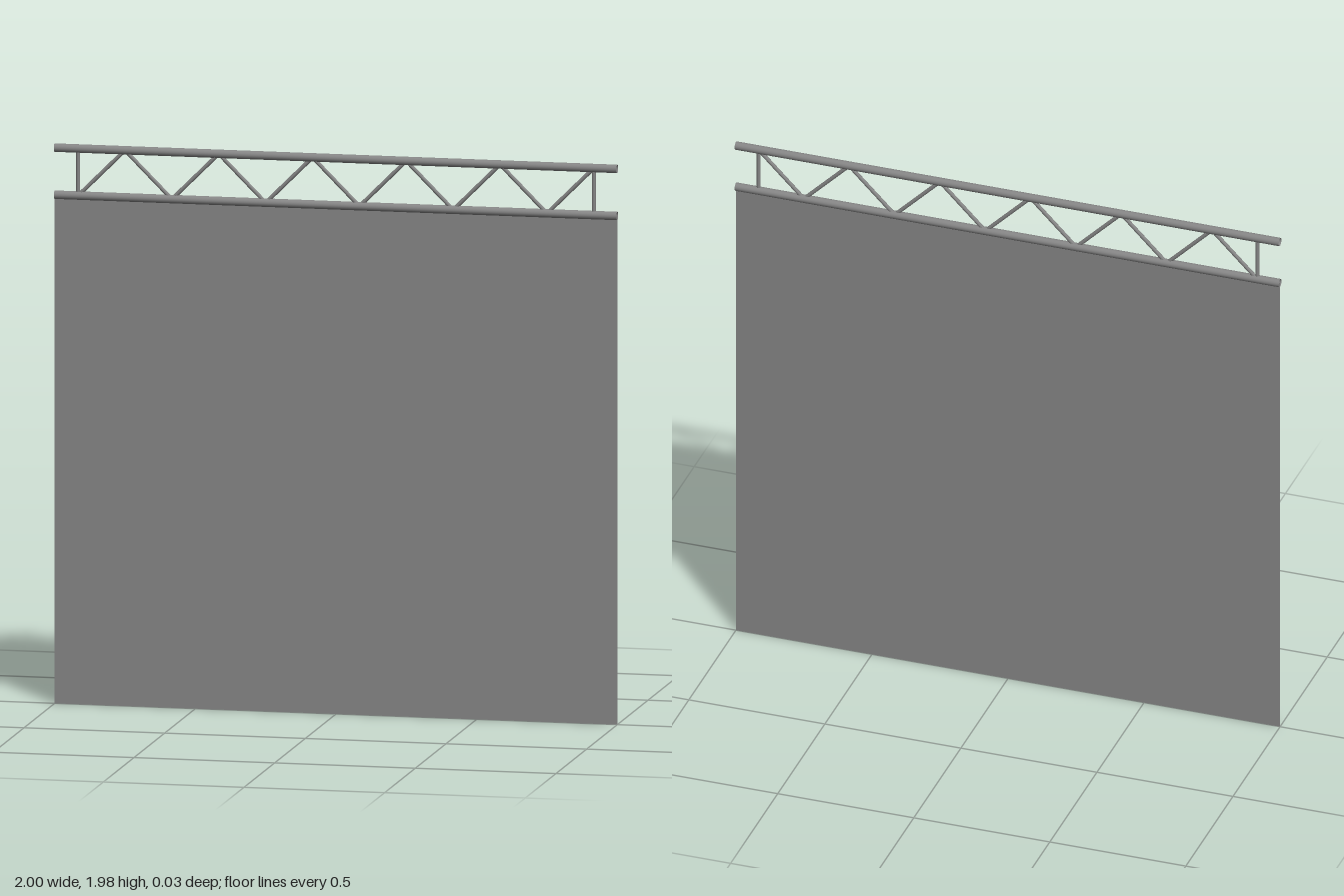
import * as THREE from 'three';

const TOP = 1.96, BOTTOM = 1.794;

export function createModel() {
  const model = new THREE.Group();
  const material = new THREE.MeshStandardMaterial({ color: 0x868686, side: THREE.DoubleSide });

  // Round bar between two points of the z = 0 plane
  function bar(name, x1, y1, x2, y2, radius, sides, open) {
    const a = new THREE.Vector3(x1, y1, 0), b = new THREE.Vector3(x2, y2, 0);
    const dir = b.clone().sub(a);
    const geometry = new THREE.CylinderGeometry(radius, radius, dir.length(), sides, 1, open);
    const mesh = new THREE.Mesh(geometry, material);
    mesh.name = name;
    mesh.position.copy(a).add(b).multiplyScalar(0.5);
    mesh.quaternion.setFromUnitVectors(new THREE.Vector3(0, 1, 0), dir.normalize());
    model.add(mesh);
  }

  // Open-ended chord tubes
  bar('topChord', -1, TOP, 1, TOP, 0.015, 16, true);
  bar('bottomChord', -1, BOTTOM, 1, BOTTOM, 0.015, 16, true);

  // Zigzag web with an upright at each end
  const step = 1 / 6, start = -5.5 * step;
  for (let i = 0; i < 11; i++) {
    const x = start + i * step, rising = i % 2 === 0;
    bar('diagonal', x, rising ? BOTTOM : TOP, x + step, rising ? TOP : BOTTOM, 0.007, 8, false);
  }
  for (const x of [start, -start]) bar('upright', x, BOTTOM, x, TOP, 0.007, 8, false);

  // Thin sheet hanging from the bottom chord
  const curtain = new THREE.Mesh(new THREE.PlaneGeometry(2, BOTTOM), material);
  curtain.name = 'curtain';
  curtain.position.y = BOTTOM / 2;
  model.add(curtain);

  return model;
}
